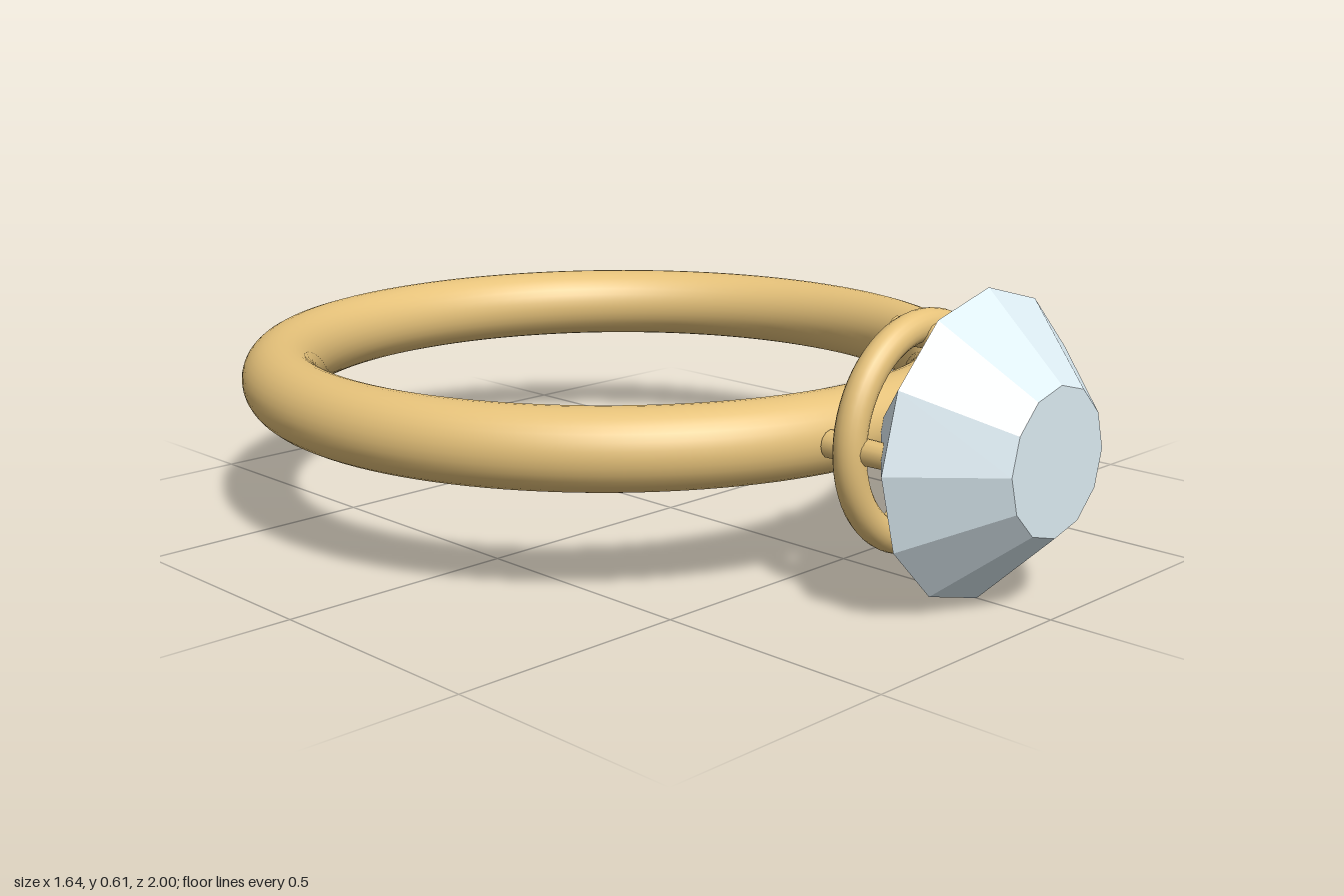
import * as THREE from 'three';

export function createModel() {
  const model = new THREE.Group();
  const gold = new THREE.MeshStandardMaterial({ color: 0xe6c27a });
  const gemMaterial = new THREE.MeshStandardMaterial({ color: 0xdcebf2, flatShading: true });
  const centreY = 0.303;

  const add = (parent, name, geometry, material, x, y, z) => {
    const mesh = new THREE.Mesh(geometry, material);
    mesh.name = name;
    mesh.position.set(x, y, z);
    parent.add(mesh);
    return mesh;
  };

  // Band lying flat
  const band = new THREE.TorusGeometry(0.74, 0.082, 32, 128).rotateX(Math.PI / 2);
  add(model, 'band', band, gold, 0, centreY, -0.178);

  // Setting: a small collar ring with four prongs, facing +z
  const setting = new THREE.Group();
  setting.name = 'setting';
  setting.position.y = centreY;
  model.add(setting);
  add(setting, 'collar', new THREE.TorusGeometry(0.211, 0.032, 20, 64), gold, 0, 0, 0.683);
  const prong = new THREE.CylinderGeometry(0.025, 0.028, 0.15, 12).rotateX(Math.PI / 2);
  for (let i = 0; i < 4; i++) {
    const a = (i * Math.PI) / 2;
    add(setting, 'prong', prong, gold, 0.192 * Math.cos(a), 0.192 * Math.sin(a), 0.695);
  }

  // Twelve-sided gem: flat-topped crown and pointed pavilion meeting at the girdle
  const gem = new THREE.Group();
  gem.name = 'gem';
  gem.position.set(0, centreY, 0.832);
  model.add(gem);
  const crown = new THREE.CylinderGeometry(0.145, 0.303, 0.168, 12, 1).rotateX(Math.PI / 2);
  add(gem, 'crown', crown, gemMaterial, 0, 0, 0.084);
  const pavilion = new THREE.ConeGeometry(0.303, 0.245, 12, 1, true).rotateX(-Math.PI / 2);
  add(gem, 'pavilion', pavilion, gemMaterial, 0, 0, -0.1225);

  return model;
}
